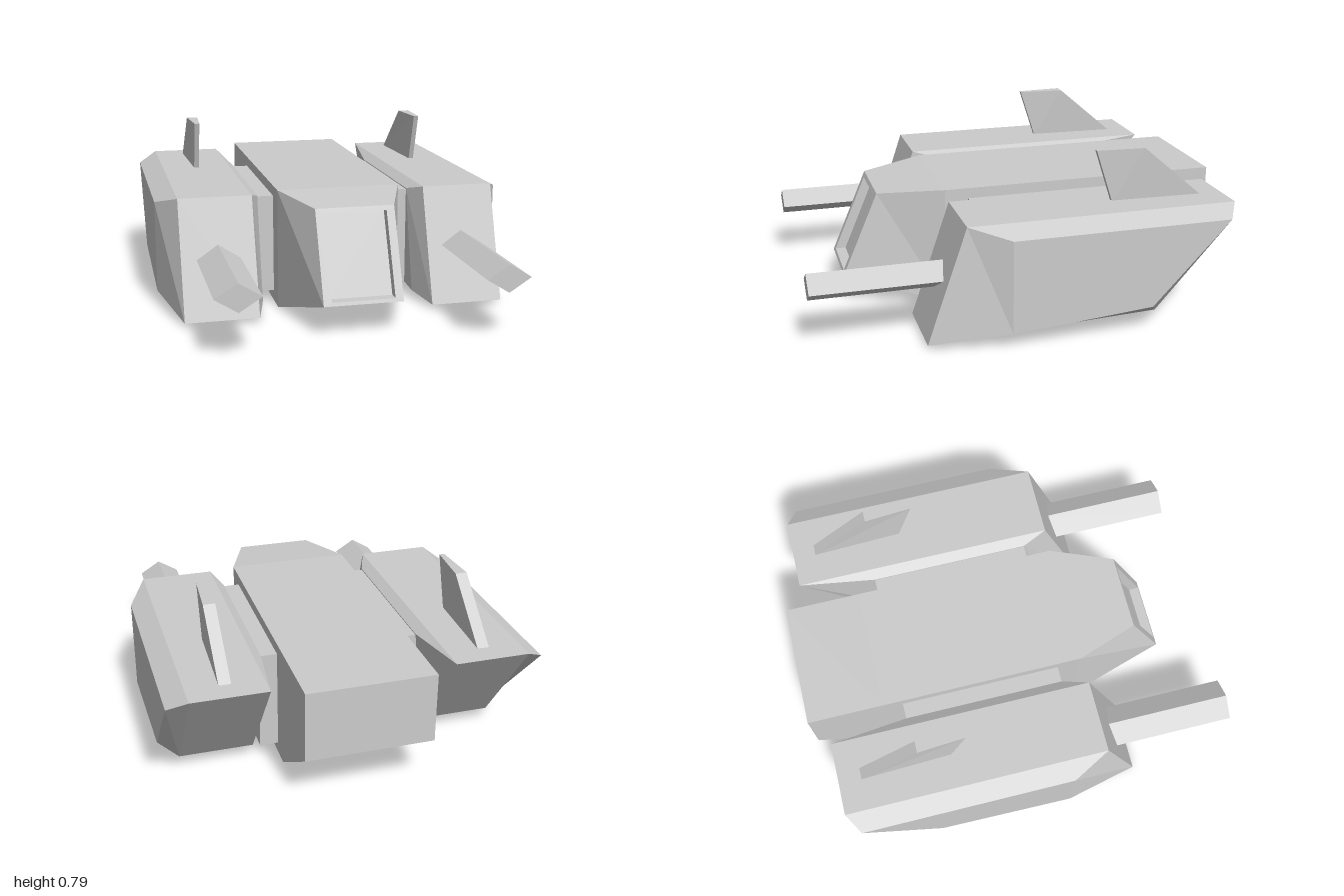
import * as THREE from 'three';

const material = new THREE.MeshStandardMaterial({ color: 0xcccccc, flatShading: true });

// Skin a series of four-cornered loops and cap both ends.
// Loops run counter-clockwise seen from the end they advance towards.
function loft(name, loops) {
  const pos = [];
  const quad = (a, b, c, d) => pos.push(...a, ...b, ...c, ...a, ...c, ...d);
  for (let s = 0; s < loops.length - 1; s++) {
    const a = loops[s], b = loops[s + 1];
    for (let i = 0; i < 4; i++) {
      const j = (i + 1) % 4;
      quad(a[i], a[j], b[j], b[i]);
    }
  }
  quad(...[...loops[0]].reverse());
  quad(...loops[loops.length - 1]);
  const geometry = new THREE.BufferGeometry();
  geometry.setAttribute('position', new THREE.Float32BufferAttribute(pos, 3));
  geometry.computeVertexNormals();
  const mesh = new THREE.Mesh(geometry, material);
  mesh.name = name;
  return mesh;
}

// Hull cross-section: half width, bottom [y, z], top [y, z]
const hullLoop = (w, [y0, z0], [y1, z1]) =>
  [[-w, y0, z0], [w, y0, z0], [w, y1, z1], [-w, y1, z1]];

// Side pod: profiles [z, y] at three widths, chamfered towards both sides
function createPod(side) {
  const main = [[-0.915, 0.55], [0.33, 0.55], [0.51, 0.02], [-0.55, 0.06]];
  const sections = [
    [0.365, [[-0.55, 0.52], [0.21, 0.52], [0.33, 0.04], [-0.42, 0.09]]],
    [0.41, main],
    [0.75, main],
    [0.84, [[-0.86, 0.5], [0.15, 0.5], [0.15, 0.07], [-0.5, 0.12]]],
  ];
  const loops = sections.map(([x, pts]) => pts.map(([z, y]) => [x * side, y, z]));
  return loft('pod', side > 0 ? loops : loops.reverse());
}

// Swept fin, thin at its leading edge
function createFin() {
  const ring = (y, front, back) =>
    [[-0.012, y, front], [0.012, y, front], [0.027, y, back], [-0.027, y, back]];
  return loft('fin', [ring(0.545, -0.385, -0.815), ring(0.79, -0.305, -0.53)]);
}

// Diamond-section cannon
function createCannon() {
  const ring = (z) => [[0.1, 0.283, z], [0, 0.345, z], [-0.1, 0.283, z], [0, 0.22, z]];
  return loft('cannon', [ring(0.33), ring(1)]);
}

export function createModel() {
  const model = new THREE.Group();
  model.name = 'spacecraft';

  // Central hull, ending in a recessed front window
  model.add(loft('hull', [
    hullLoop(0.29, [0.24, -1], [0.565, -1]),
    hullLoop(0.29, [0, -0.64], [0.565, -0.64]),
    hullLoop(0.29, [0, 0.32], [0.565, 0.32]),
    hullLoop(0.18, [0.145, 0.79], [0.54, 0.62]),
    hullLoop(0.143, [0.16, 0.784], [0.52, 0.629]),
    hullLoop(0.143, [0.16, 0.735], [0.52, 0.58]),
  ]));

  // Cross beam joining the pods to the hull
  const beam = new THREE.Mesh(new THREE.BoxGeometry(0.75, 0.465, 0.76), material);
  beam.name = 'crossBeam';
  beam.position.set(0, 0.283, -0.17);
  model.add(beam);

  for (const side of [1, -1]) {
    const nacelle = new THREE.Group();
    nacelle.name = side > 0 ? 'leftNacelle' : 'rightNacelle';
    const fin = createFin();
    const cannon = createCannon();
    fin.position.x = cannon.position.x = 0.58 * side;
    nacelle.add(createPod(side), fin, cannon);
    model.add(nacelle);
  }
  return model;
}
